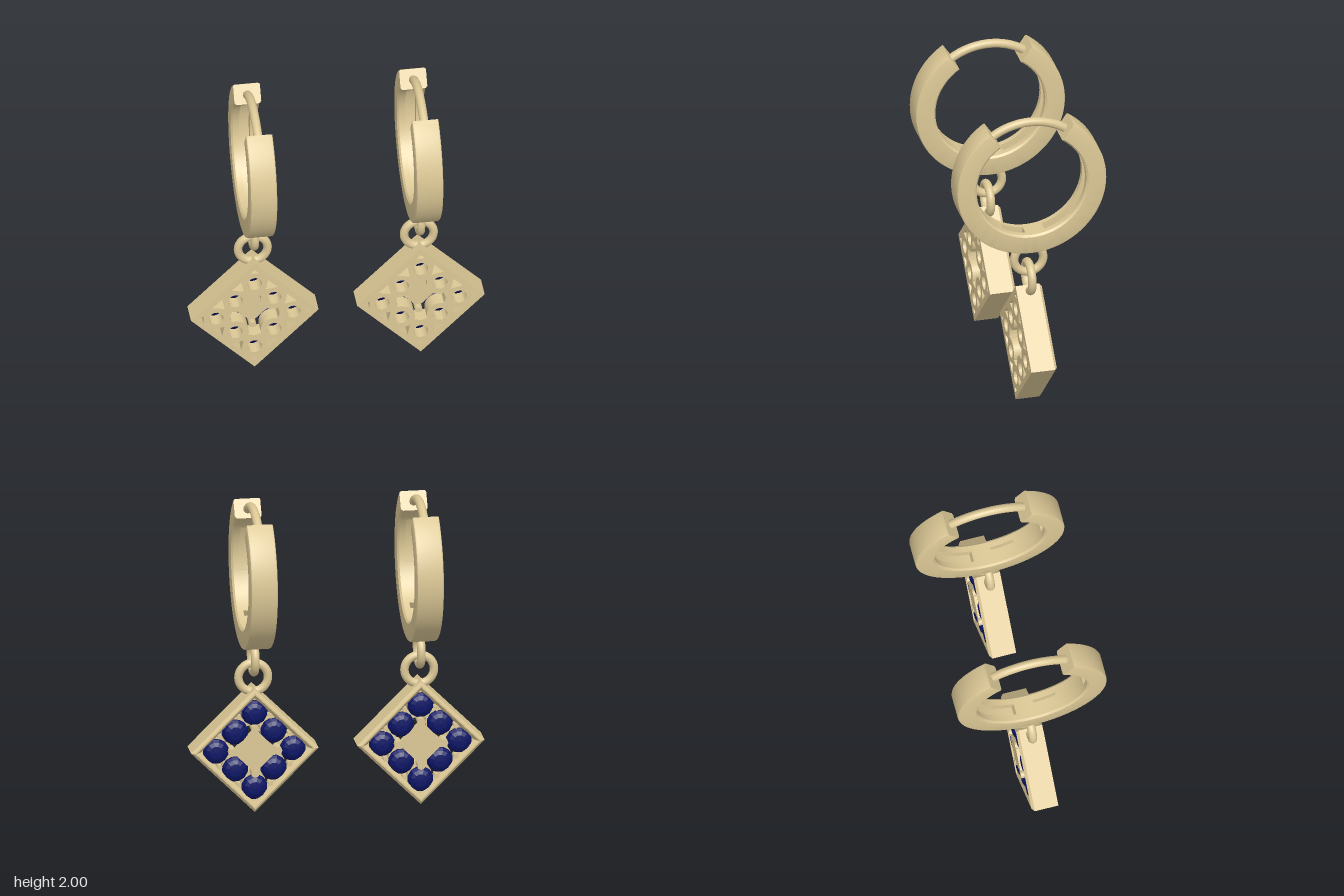
import * as THREE from 'three';
import { mergeGeometries, toCreasedNormals } from 'three/addons/utils/BufferGeometryUtils.js';

const gold = new THREE.MeshStandardMaterial({ color: 0xdcc896 });
const blue = new THREE.MeshStandardMaterial({ color: 0x0c1566 });
const rad = THREE.MathUtils.degToRad;
const points = (list) => list.map(([x, y]) => new THREE.Vector2(x, y));

function add(parent, name, geometry, x = 0, y = 0, z = 0, material = gold) {
  const mesh = new THREE.Mesh(geometry, material);
  mesh.name = name;
  mesh.position.set(x, y, z);
  parent.add(mesh);
  return mesh;
}

// Hoop band: cross-section (radius, width) swept in arcs, some with an inner groove
function hoopGeometry() {
  const ri = 0.355, ro = 0.484, w = 0.085, c = 0.012, g = 0.035, gr = 0.405;
  const solid = [[ri, -w + c], [ri + c, -w], [ro - c, -w], [ro - c * 0.3, -w + c * 0.3], [ro, -w + c],
    [ro, w - c], [ro - c * 0.3, w - c * 0.3], [ro - c, w], [ri + c, w], [ri, w - c]];
  const grooved = [...solid, [ri, g], [gr, g], [gr, -g], [ri, -g]];
  const stops = [124, 138, 255, 275, 300, 345, 395, 416];
  const parts = [];
  for (let i = 0; i < stops.length - 1; i++) {
    const profile = i % 2 ? grooved : solid;
    const a = rad(stops[i]), b = rad(stops[i + 1]);
    const steps = Math.ceil((stops[i + 1] - stops[i]) / 4);
    parts.push(new THREE.LatheGeometry(points([...profile, profile[0]]), steps, a, b - a));
    if (i % 2 === 0) { // close both ends of each solid arc
      const start = new THREE.ShapeGeometry(new THREE.Shape(points(solid)));
      const end = start.clone();
      start.rotateY(a - Math.PI / 2);
      end.rotateY(b - Math.PI / 2);
      const flip = (geo) => {
        const idx = geo.index.array;
        for (let k = 0; k < idx.length; k += 3) [idx[k], idx[k + 1]] = [idx[k + 1], idx[k]];
      };
      flip(end.normalizeNormals ? start : end);
      const want = new THREE.Vector3(Math.cos(b), 0, -Math.sin(b));
      const p = [0, 1, 2].map((k) => new THREE.Vector3().fromBufferAttribute(end.attributes.position, end.index.getX(k)));
      const n = p[1].clone().sub(p[0]).cross(p[2].clone().sub(p[0]));
      if (n.dot(want) < 0) { flip(start); flip(end); }
      parts.push(start, end);
    }
  }
  return toCreasedNormals(mergeGeometries(parts).rotateZ(Math.PI / 2), 0.6);
}

// Pierced front plate, drawn square and turned onto its corner
function plateGeometry(pitch, half) {
  const shape = new THREE.Shape(points([[-half, -half], [half, -half], [half, half], [-half, half]]));
  const turn = (list, q) => points(list).map((p) => p.rotateAround(new THREE.Vector2(), q * Math.PI / 2));
  const star = [];
  for (let q = 0; q < 4; q++) {
    // openings by the walls and in the corner
    for (const s of [-1, 1]) {
      const u = s * pitch / 2;
      shape.holes.push(new THREE.Path(turn([[u - 0.042, 0.249], [u + 0.042, 0.249], [u, 0.185]], q)));
    }
    shape.holes.push(new THREE.Path(turn([[0.25, 0.25], [0.25, 0.212], [0.212, 0.25]], q)));
    // concave side of the star, around the neighbouring setting
    const arc = [];
    for (let k = -6; k <= 6; k++) {
      const t = rad(k * 10.3);
      arc.push([pitch - 0.085 * Math.cos(t), 0.085 * Math.sin(t)]);
    }
    star.push(...turn([...arc, [0.112, 0.112]], q));
  }
  shape.holes.push(new THREE.Path(star));
  for (const [u, v] of settings(pitch)) {
    const hole = new THREE.Path();
    hole.absarc(u, v, 0.046, 0, Math.PI * 2);
    shape.holes.push(hole);
  }
  const geo = new THREE.ExtrudeGeometry(shape, { depth: 0.1, bevelEnabled: false, curveSegments: 20 });
  return toCreasedNormals(geo.translate(0, 0, -0.015), 0.6);
}

// Eight places around the middle of a three by three grid
function settings(pitch) {
  const list = [];
  for (let i = -1; i <= 1; i++) for (let j = -1; j <= 1; j++) if (i || j) list.push([i * pitch, j * pitch]);
  return list;
}

function createPendant() {
  const pendant = new THREE.Group();
  pendant.name = 'pendant';
  const pitch = 0.173;

  // Square frame with a bevelled back rim
  const rim = [[0.405, -0.085], [0.405, 0.068], [0.382, 0.085], [0.37, 0.085], [0.34, 0.05],
    [0.34, 0], [0.37, 0], [0.37, -0.085], [0.405, -0.085]];
  add(pendant, 'frame', toCreasedNormals(new THREE.LatheGeometry(points(rim), 4).rotateX(-Math.PI / 2), 0.2));

  const inner = new THREE.Group();
  inner.name = 'setting';
  inner.rotation.z = Math.PI / 4;
  pendant.add(inner);
  add(inner, 'frontPlate', plateGeometry(pitch, 0.37 / Math.SQRT2));
  add(inner, 'centrePlate', new THREE.BoxGeometry(0.2, 0.2, 0.055), 0, 0, -0.0625);

  // Faceted stones, crown to the back
  const cut = points([[0, -0.03], [0.08, 0.038], [0.084, 0.044], [0.08, 0.052], [0.066, 0.07], [0.042, 0.082], [0, 0.085]]);
  const stone = toCreasedNormals(new THREE.LatheGeometry(cut, 12).rotateX(-Math.PI / 2), 0.1);
  for (const [u, v] of settings(pitch)) add(inner, 'stone', stone, u, v, 0, blue);

  // Prongs at the centre corners and along the walls
  const prong = new THREE.CylinderGeometry(0.025, 0.025, 0.095, 16).rotateX(Math.PI / 2);
  const wallProng = new THREE.CylinderGeometry(0.016, 0.016, 0.06, 12).rotateX(Math.PI / 2);
  for (const a of [-1, 1]) for (const b of [-1, 1]) {
    add(inner, 'prong', prong, a * 0.103, b * 0.103, -0.0465);
    add(inner, 'wallProng', wallProng, a * pitch / 2, b * 0.228, -0.04);
    add(inner, 'wallProng', wallProng, a * 0.228, b * pitch / 2, -0.04);
  }
  return pendant;
}

function createEarring() {
  const earring = new THREE.Group();
  earring.name = 'earring';
  add(earring, 'hoop', hoopGeometry(), 0, 1.56, 0);

  // Thin wire closing the gap at the top
  const wire = new THREE.TorusGeometry(0.414, 0.028, 14, 32, rad(84));
  add(earring, 'wire', wire.rotateZ(rad(48)).rotateY(Math.PI / 2), 0, 1.56, 0);

  // Two interlocking links
  const link = new THREE.TorusGeometry(0.094, 0.027, 16, 40);
  add(earring, 'upperLink', link, 0, 1.0, 0).rotation.y = Math.PI / 2;
  add(earring, 'lowerLink', link, 0, 0.87, 0);

  const pendant = createPendant();
  pendant.position.y = 0.405;
  earring.add(pendant);
  return earring;
}

export function createModel() {
  const model = new THREE.Group();
  model.name = 'earrings';
  const left = createEarring();
  const right = left.clone();
  left.name = 'leftEarring';
  right.name = 'rightEarring';
  left.position.x = 0.527;
  right.position.x = -0.527;
  model.add(left, right);
  return model;
}
